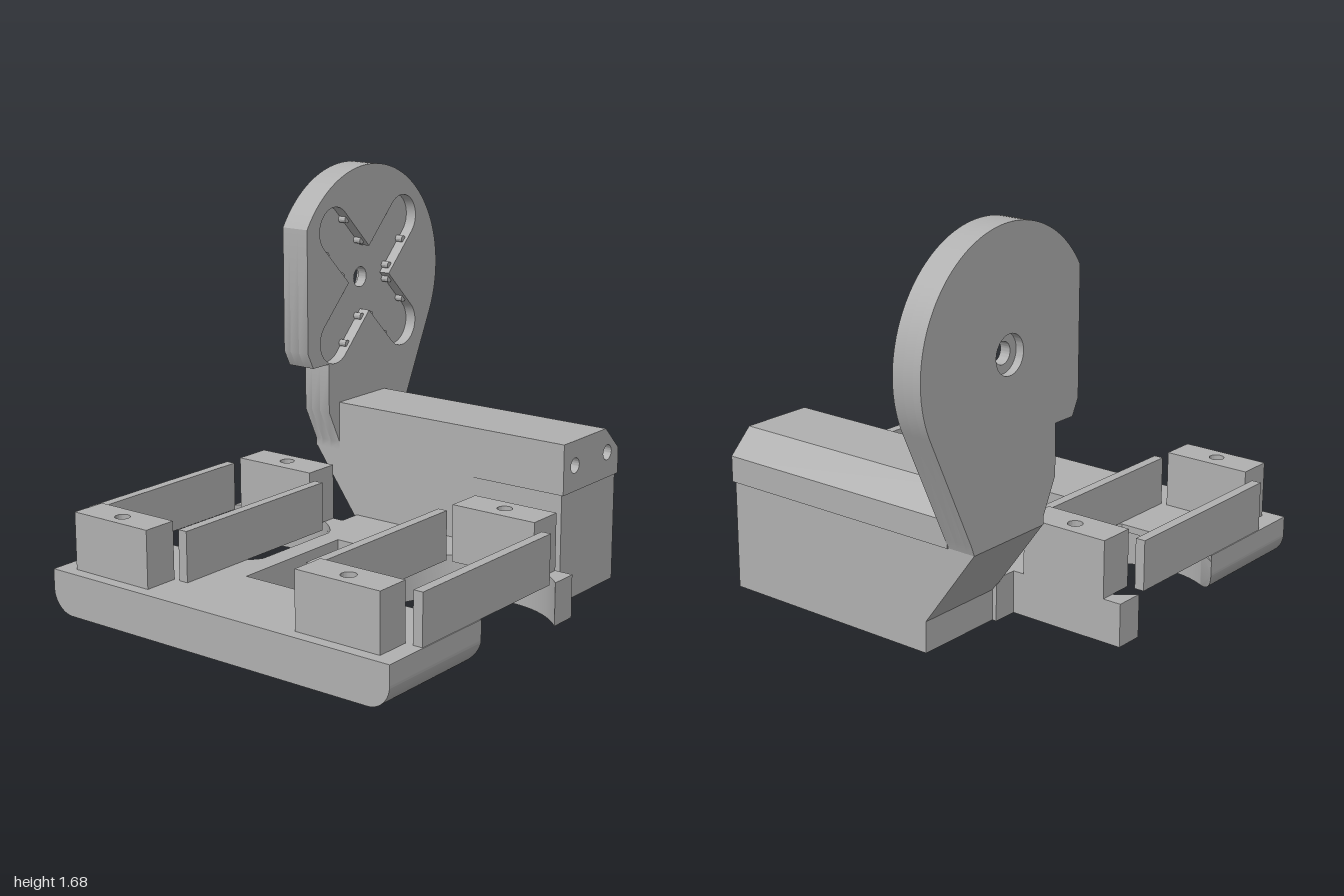
import * as THREE from 'three';
import { toCreasedNormals } from 'three/addons/utils/BufferGeometryUtils.js';

const grey = new THREE.MeshStandardMaterial({ color: 0xb0b0b0 });
grey.name = 'plain grey';

// Round cutouts in the base: centre, radius and half depth of the base
const CX = -0.18, CZ = 0.565, R = 0.375, HALF = 0.84;

const toShape = (pts) => new THREE.Shape(pts.map(([x, y]) => new THREE.Vector2(x, y)));
function addHole(shape, x, y, r) {
  shape.holes.push(new THREE.Path().absarc(x, y, r, 0, Math.PI * 2, true));
  return shape;
}
const extrude = (shape, depth) =>
  new THREE.ExtrudeGeometry(shape, { depth, bevelEnabled: false, curveSegments: 32 });

function add(group, name, geo) {
  const mesh = new THREE.Mesh(toCreasedNormals(geo, 0.5), grey);
  mesh.name = name;
  group.add(mesh);
  return mesh;
}
function box(group, name, x0, x1, y0, y1, z0, z1) {
  const geo = new THREE.BoxGeometry(x1 - x0, y1 - y0, z1 - z0);
  geo.translate((x0 + x1) / 2, (y0 + y1) / 2, (z0 + z1) / 2);
  return add(group, name, geo);
}
// Shape drawn in (x, z), standing between y0 and y1
function slab(group, name, shape, y0, y1) {
  return add(group, name, extrude(shape, y1 - y0).rotateX(Math.PI / 2).translate(0, y1, 0));
}
// Shape drawn in (x, y), running between z0 and z1
function panel(group, name, shape, z0, z1) {
  return add(group, name, extrude(shape, z1 - z0).translate(0, 0, z0));
}

// Base outline with the two round cutouts, optionally clipped to a lip
function baseShape(zLeft, minX, minZ) {
  const a0 = Math.PI - Math.asin((zLeft - CZ) / R);
  const a1 = Math.PI * 2 + Math.asin((HALF - CZ) / R);
  const front = [[-1, zLeft]];
  for (let i = 0; i <= 64; i++) {
    const a = a0 + (a1 - a0) * i / 64;
    front.push([Math.max(CX + R * Math.cos(a), minX), Math.max(CZ + R * Math.sin(a), minZ)]);
  }
  front.push([0.2, HALF]);
  const back = front.map(([x, z]) => [x, -z]).reverse();
  const shape = toShape([...front, ...back]);
  shape.holes.push(new THREE.Path([[-0.6, -0.17], [-0.02, -0.17], [-0.02, 0.165], [-0.6, 0.165]]
    .map(([x, z]) => new THREE.Vector2(x, z))));
  return shape;
}

function buildBase() {
  const base = new THREE.Group();
  base.name = 'base';
  const lower = baseShape(0.74, -1, 0);
  for (const z of [-0.2, 0, 0.2]) addHole(lower, -0.86, z, 0.022);
  slab(base, 'basePlate', lower, 0, 0.15);
  slab(base, 'baseTop', baseShape(HALF, -0.49, 0.26), 0.15, 0.18);

  // Rounded lower edges at front and back, ending on the round cutout
  for (const side of [1, -1]) {
    const s = new THREE.Shape();
    s.moveTo(0.74 * side, 0);
    s.absarc(0.74 * side, 0.1, 0.1, -Math.PI / 2, side > 0 ? 0 : -Math.PI, side < 0);
    s.lineTo(HALF * side, 0.15);
    s.lineTo(0.74 * side, 0.15);
    const geo = extrude(s, 1).rotateY(-Math.PI / 2);
    const p = geo.attributes.position;
    for (let i = 0; i < p.count; i++) {
      const dz = Math.abs(p.getZ(i)) - CZ;
      p.setX(i, p.getX(i) < -0.5 ? -1 : CX - Math.sqrt(R * R - dz * dz));
    }
    add(base, 'roundedEdge', geo);
  }
  box(base, 'armConnector', 0.19, 0.31, 0, 0.18, -0.32, 0.32);
  return base;
}

// One servo bay: two side walls and two drilled posts
function buildBay(side) {
  const bay = new THREE.Group();
  bay.name = side > 0 ? 'frontBay' : 'backBay';
  for (const z of [0.322, 0.815]) {
    box(bay, 'bayWall', -0.8, 0.04, 0.18, 0.39, side * z - 0.021, side * z + 0.021);
  }
  for (const [x0, x1, hx] of [[-0.95, -0.8, -0.88], [0.04, 0.2, 0.125]]) {
    const [z0, z1] = side > 0 ? [0.37, 0.76] : [-0.76, -0.37];
    box(bay, 'post', x0, x1, 0.18, 0.3, z0, z1);
    const top = toShape([[x0, z0], [x1, z0], [x1, z1], [x0, z1]]);
    slab(bay, 'postTop', addHole(top, hx, side * CZ, 0.031), 0.3, 0.42);
  }
  return bay;
}

function buildArmBlock() {
  const block = new THREE.Group();
  block.name = 'armBlock';
  // Lower body with the sloping back, drawn in (z, y)
  const body = toShape([[0.72, 0], [0.72, 0.46], [-0.54, 0.46], [-0.3, 0.13], [-0.3, 0]]);
  add(block, 'blockBody', extrude(body, 0.41).rotateY(-Math.PI / 2).translate(0.71, 0, 0));
  // Upper cap with one chamfered edge and two blind holes in front
  const cap = () => toShape([[0.295, 0.46], [0.718, 0.46], [0.718, 0.57], [0.615, 0.672], [0.295, 0.672]]);
  panel(block, 'blockCap', cap(), -0.415, 0.6);
  const front = cap();
  for (const x of [0.38, 0.63]) addHole(front, x, 0.568, 0.032);
  panel(block, 'blockCapFront', front, 0.6, 0.73);
  return block;
}

function buildDisc() {
  const disc = new THREE.Group();
  disc.name = 'mountingDisc';
  const X = 0.505, Y = 1.185, RD = 0.495;
  const outline = () => {
    const s = toShape([[0.085, 0.92], [0.12, 0.852], [0.225, 0.852], [0.225, 0.64], [0.295, 0.495],
      [0.295, 0.46], [0.71, 0.46], [0.725, 0.5]]);
    s.absarc(X, Y, RD, -0.45, Math.PI - Math.acos((X - 0.085) / RD), false);
    s.closePath();
    return s;
  };
  panel(disc, 'discBack', addHole(outline(), X, Y, 0.08), -0.54, -0.505);
  panel(disc, 'discMiddle', addHole(outline(), X, Y, 0.044), -0.505, -0.46);

  // Cross-shaped recess made of four round-ended arms
  const front = outline(), cross = [], tabs = [];
  const w = 0.1, reach = 0.335;
  for (let k = 0; k < 4; k++) {
    const a = Math.PI / 4 + k * Math.PI / 2, c = Math.cos(a), s = Math.sin(a);
    const at = (u, v) => new THREE.Vector2(X + u * c - v * s, Y + u * s + v * c);
    cross.push(at(w, -w));
    for (let i = 0; i <= 20; i++) {
      const t = -Math.PI / 2 + Math.PI * i / 20;
      cross.push(at(reach + w * Math.cos(t), w * Math.sin(t)));
    }
    for (const u of [0.14, 0.285]) for (const v of [-0.096, 0.096]) tabs.push(at(u, v));
  }
  front.holes.push(new THREE.Path(cross));
  panel(disc, 'discFront', front, -0.46, -0.41);

  // Small grip tabs on the recess edges
  for (const t of tabs) {
    const geo = new THREE.CylinderGeometry(0.015, 0.015, 0.035, 12);
    add(disc, 'gripTab', geo.rotateX(Math.PI / 2).translate(t.x, t.y, -0.443));
  }
  return disc;
}

export function createModel() {
  const model = new THREE.Group();
  model.name = 'servoBracket';
  model.add(buildBase(), buildBay(1), buildBay(-1), buildArmBlock(), buildDisc());
  return model;
}
